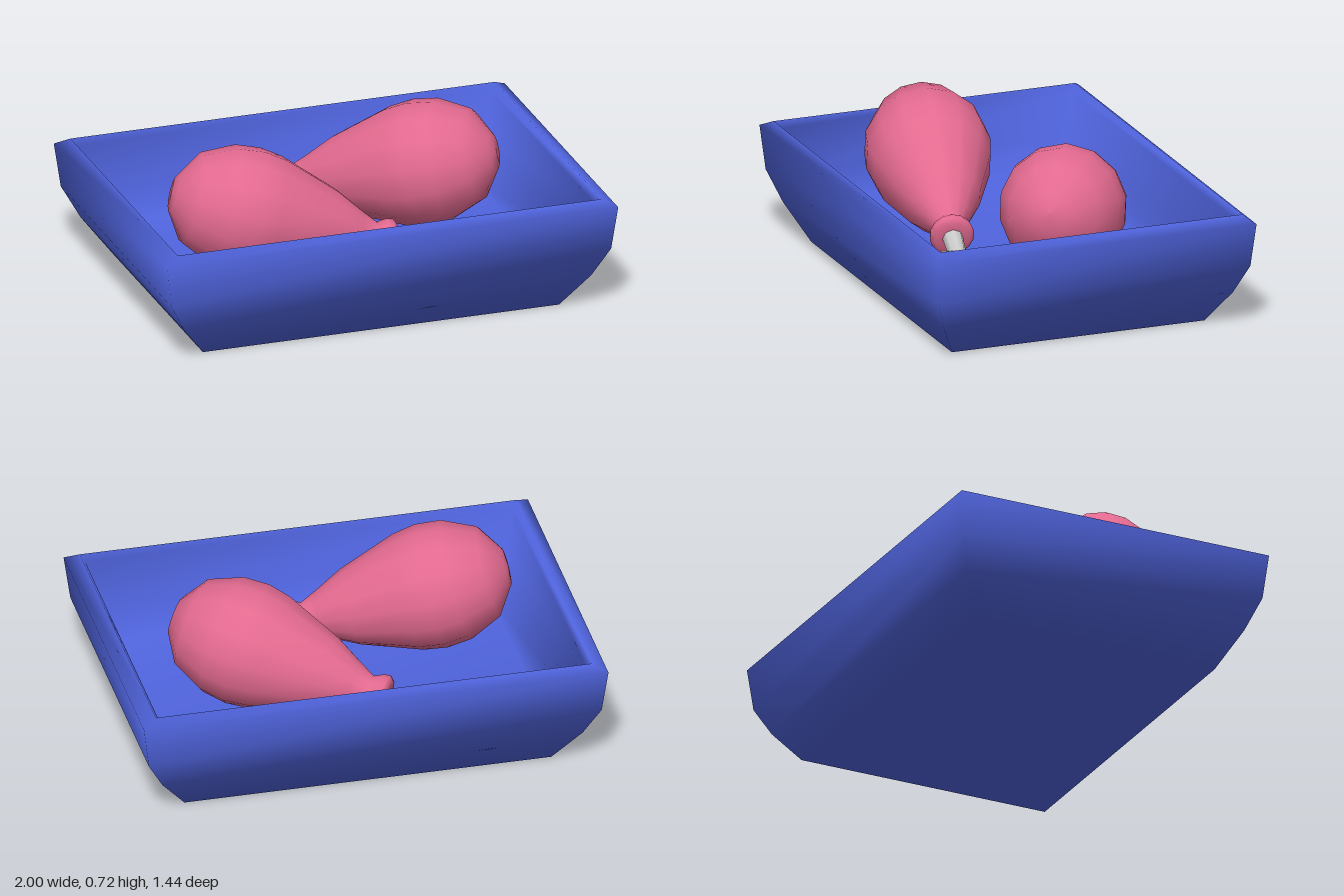
import * as THREE from 'three';

const blue = new THREE.MeshStandardMaterial({ color: 0x5064de });
const pink = new THREE.MeshStandardMaterial({ color: 0xe36a90 });
const grey = new THREE.MeshStandardMaterial({ color: 0xcccccc });

function addMesh(parent, name, geometry, material) {
  const mesh = new THREE.Mesh(geometry, material);
  mesh.name = name;
  parent.add(mesh);
  return mesh;
}

// Closed skin over stacked rectangular rings [halfX, halfZ, y], outside bottom to inside floor
function trayGeometry(rings) {
  const positions = [], index = [];
  for (const [x, z, y] of rings) {
    positions.push(-x, y, z, x, y, z, x, y, -z, -x, y, -z);
  }
  for (let r = 0; r < rings.length - 1; r++) {
    for (let i = 0; i < 4; i++) {
      const a = r * 4 + i, b = r * 4 + (i + 1) % 4;
      index.push(a, b, b + 4, a, b + 4, a + 4);
    }
  }
  const f = (rings.length - 1) * 4;
  index.push(0, 2, 1, 0, 3, 2); // underside
  index.push(f, f + 1, f + 2, f, f + 2, f + 3); // inside floor
  const geometry = new THREE.BufferGeometry();
  geometry.setAttribute('position', new THREE.Float32BufferAttribute(positions, 3));
  geometry.setIndex(index);
  geometry.computeVertexNormals();
  return geometry;
}

// Drumstick along local +y, from the collar (y = 0) to the thick end
function drumstick(name, collar, direction) {
  const group = new THREE.Group();
  group.name = name;

  const profile = [
    [0.03, -0.035], [0.075, -0.035], [0.095, -0.015], [0.09, 0.012], [0.068, 0.05],
    [0.1, 0.12], [0.165, 0.25], [0.252, 0.5], [0.268, 0.6], [0.258, 0.71],
    [0.195, 0.85], [0.08, 0.928], [0, 0.937],
  ].map(([r, y]) => new THREE.Vector2(r, y));
  addMesh(group, 'meat', new THREE.LatheGeometry(profile, 14), pink);

  const shaft = addMesh(group, 'boneShaft', new THREE.CylinderGeometry(0.046, 0.036, 0.2, 8), grey);
  shaft.position.y = -0.1;
  for (const side of [-1, 1]) {
    const knob = addMesh(group, 'boneKnob', new THREE.SphereGeometry(0.05, 6, 5), grey);
    knob.position.set(side * 0.05, -0.2, 0);
  }

  // Aim local y along the direction and keep the knobs side by side
  const y = new THREE.Vector3(...direction).normalize();
  const x = new THREE.Vector3(0, 1, 0).cross(y).normalize();
  const z = x.clone().cross(y);
  group.quaternion.setFromRotationMatrix(new THREE.Matrix4().makeBasis(x, y, z));
  group.position.set(...collar);
  return group;
}

export function createModel() {
  const model = new THREE.Group();
  model.name = 'drumstickTray';

  addMesh(model, 'tray', trayGeometry([
    [0.79, 0.57, 0], [0.905, 0.652, 0.15], [0.975, 0.702, 0.28], [1, 0.72, 0.47],
    [0.94, 0.68, 0.5], [0.92, 0.66, 0.47], [0.88, 0.625, 0.28], [0.79, 0.55, 0.14],
  ]), blue);

  model.add(drumstick('leftDrumstick', [-0.092, 0.3, -0.4], [0.848, 0.24, 0.53]));
  model.add(drumstick('rightDrumstick', [0.112, 0.28, 0.3], [-0.977, 0.285, -0.212]));
  return model;
}
